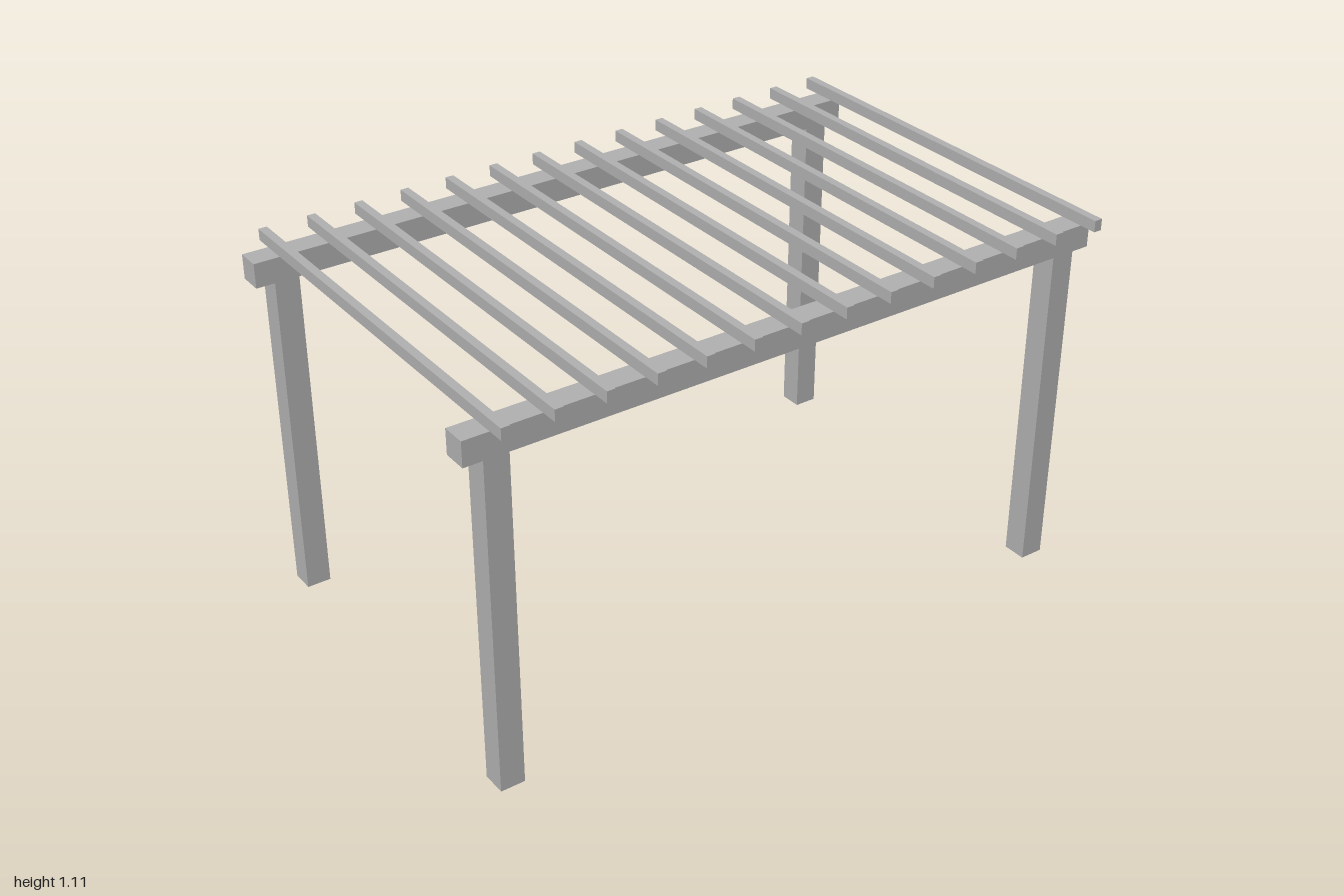
import * as THREE from 'three';

export function createModel() {
  const model = new THREE.Group();
  model.name = 'pergola';
  const timber = new THREE.MeshStandardMaterial({ color: 0xb2b2b2 });
  timber.name = 'grey timber';

  // Squared timber, positioned by its centre in x and z and its bottom in y
  function addTimber(name, [w, h, d], x, bottom, z) {
    const mesh = new THREE.Mesh(new THREE.BoxGeometry(w, h, d), timber);
    mesh.name = name;
    mesh.position.set(x, bottom + h / 2, z);
    model.add(mesh);
  }

  const postWidth = 0.072, postHeight = 1.002, beamHeight = 0.073;
  const postX = 0.909, beamZ = 0.547;

  // Two long beams, each carried by a pair of posts
  for (const [side, z] of [['front', beamZ], ['back', -beamZ]]) {
    addTimber(side + 'LeftPost', [postWidth, postHeight, postWidth], postX, 0, z);
    addTimber(side + 'RightPost', [postWidth, postHeight, postWidth], -postX, 0, z);
    addTimber(side + 'Beam', [2, beamHeight, postWidth], 0, postHeight, z);
  }

  // Row of rafters resting across the beams, slightly offset to the left
  const rafterCount = 14, firstX = -0.911, spacing = 0.1454;
  for (let i = 0; i < rafterCount; i++) {
    addTimber('rafter' + (i + 1), [0.025, 0.034, 1.27], firstX + i * spacing, postHeight + beamHeight, 0);
  }

  return model;
}
